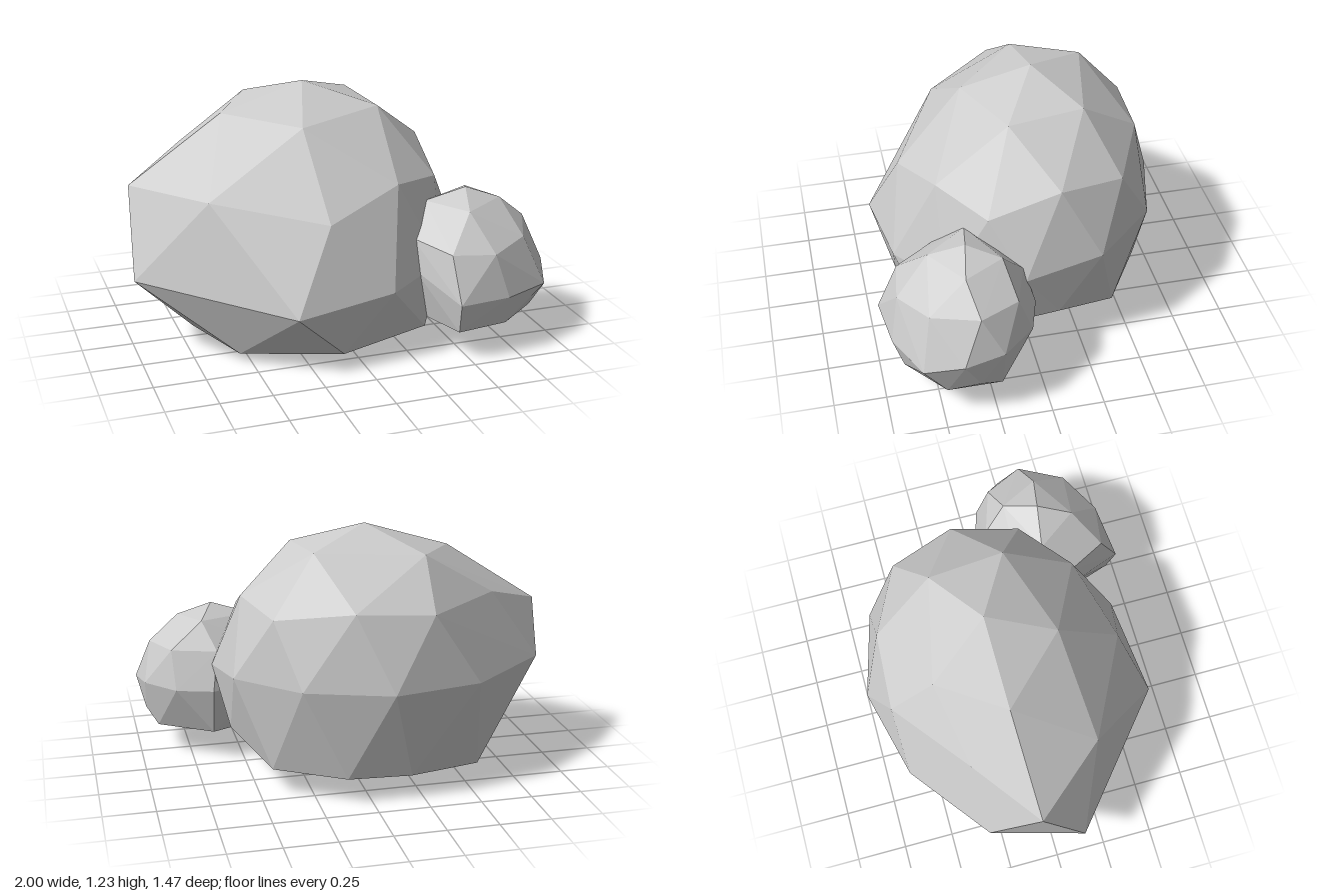
import * as THREE from 'three';
import { ConvexGeometry } from 'three/addons/geometries/ConvexGeometry.js';

const stone = new THREE.MeshStandardMaterial({ color: 0xcccccc, flatShading: true });

// A faceted boulder: the convex skin over a few rings of corner points.
function boulder(name, rings) {
  const corners = Object.values(rings).flat().map((p) => new THREE.Vector3(...p));
  const mesh = new THREE.Mesh(new ConvexGeometry(corners), stone);
  mesh.name = name;
  return mesh;
}

export function createModel() {
  const group = new THREE.Group();
  group.name = 'boulders';

  // Large boulder, drawn out to a blunt point on its right
  group.add(boulder('largeBoulder', {
    crown: [
      [-0.08, 1.23, -0.13], [0.25, 1.12, 0.05], [-0.18, 1.08, 0.2],
      [-0.5, 1.1, -0.12], [-0.3, 1.13, -0.43], [0.21, 1.14, -0.32],
    ],
    shoulder: [
      [0.53, 0.91, -0.14], [0.43, 0.87, -0.46], [0.08, 0.92, -0.62],
      [-0.29, 0.9, -0.64], [-0.66, 0.91, -0.35], [-0.97, 0.79, -0.09],
      [-0.66, 0.78, 0.27], [-0.15, 0.7, 0.53], [0.23, 0.82, 0.4],
      [0.5, 0.78, 0.2],
    ],
    waist: [
      [0.65, 0.51, 0.05], [0.6, 0.56, -0.33], [0.33, 0.57, -0.63],
      [-0.08, 0.56, -0.74], [-0.52, 0.55, -0.63], [-0.91, 0.56, -0.33],
      [-1, 0.38, 0.13], [-0.35, 0.31, 0.67], [0.14, 0.36, 0.61],
      [0.46, 0.4, 0.4],
    ],
    base: [
      [0.35, 0.11, 0.48], [0.51, 0.13, 0.14], [0.59, 0.24, -0.13],
      [0.44, 0.13, -0.44], [0.12, 0.13, -0.64], [-0.19, 0.12, -0.64],
      [-0.56, 0.09, -0.5], [-0.67, 0, -0.12], [-0.55, 0.04, 0.36],
      [-0.1, 0.07, 0.58],
    ],
  }));

  // Small boulder leaning on the front left, cut flat underneath
  group.add(boulder('smallBoulder', {
    crown: [
      [0.61, 0.75, 0.33], [0.78, 0.69, 0.36], [0.68, 0.7, 0.17],
      [0.41, 0.69, 0.3], [0.56, 0.68, 0.5],
    ],
    shoulder: [
      [0.93, 0.57, 0.32], [0.84, 0.57, 0.13], [0.62, 0.57, 0.06],
      [0.38, 0.57, 0.17], [0.3, 0.55, 0.42], [0.42, 0.52, 0.63],
      [0.63, 0.51, 0.66], [0.83, 0.54, 0.54],
    ],
    waist: [
      [1, 0.36, 0.41], [0.97, 0.38, 0.22], [0.83, 0.38, 0.06],
      [0.65, 0.38, 0.005], [0.36, 0.38, 0.12], [0.3, 0.4, 0.46],
      [0.43, 0.3, 0.73], [0.69, 0.3, 0.7], [0.93, 0.3, 0.59],
    ],
    base: [
      [0.96, 0.21, 0.33], [0.91, 0.15, 0.48], [0.91, 0.15, 0.22],
      [0.65, 0.15, 0.05], [0.45, 0.15, 0.14], [0.36, 0.15, 0.45],
      [0.44, 0.15, 0.69], [0.7, 0.15, 0.65],
    ],
  }));

  return group;
}
